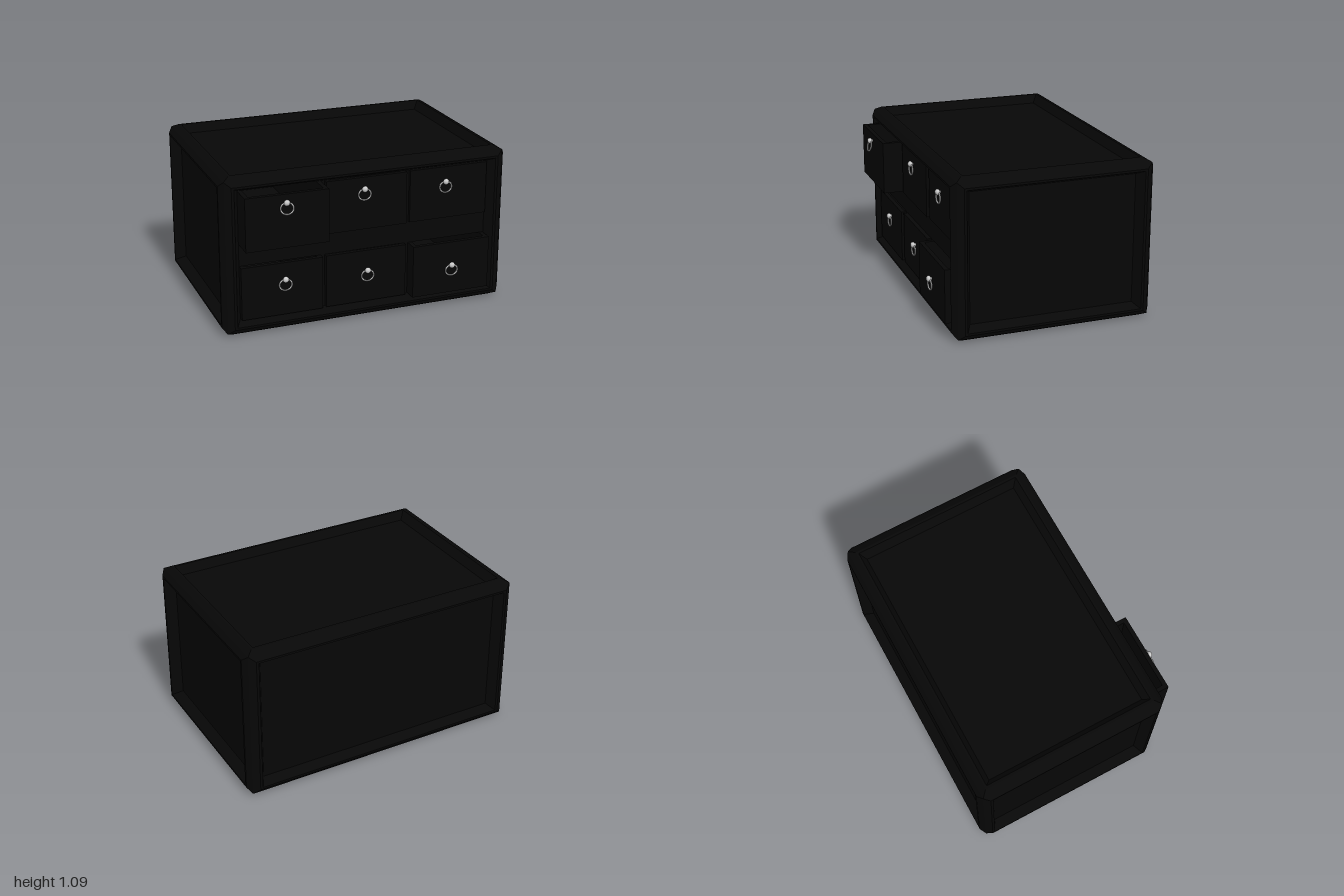
import * as THREE from 'three';

const black = new THREE.MeshStandardMaterial({ color: 0x070707, flatShading: true });
const metal = new THREE.MeshStandardMaterial({ color: 0xcccccc });

// Half sizes and centre of the cabinet body
const HX = 1, HY = 0.545, HZ = 0.685, CZ = -0.065;
// Frame width, panel recess, and the frame's relative width along each axis
const BEAM = 0.115, RECESS = 0.065;
const KX = 1.1, KY = 0.89, KZ = 1.05;

// Box given by its minimum and maximum corners
function box(name, x0, x1, y0, y1, z0, z1) {
  const mesh = new THREE.Mesh(new THREE.BoxGeometry(x1 - x0, y1 - y0, z1 - z0), black);
  mesh.position.set((x0 + x1) / 2, (y0 + y1) / 2, (z0 + z1) / 2);
  mesh.name = name;
  return mesh;
}

// Bevelled beam along z, mitred at both ends so three beams meet at a corner
function beamGeometry(half, ka, kb, kl) {
  const profile = [[0, 0.064], [0.026, 0.026], [0.064, 0], [0.08, 0],
    [BEAM, RECESS], [BEAM, BEAM], [RECESS, BEAM], [0, 0.08]];
  const shape = new THREE.Shape(profile.map(([a, b]) => new THREE.Vector2(a, b)));
  const geo = new THREE.ExtrudeGeometry(shape, { depth: 1, bevelEnabled: false });
  const p = geo.attributes.position;
  for (let i = 0; i < p.count; i++) {
    const a = p.getX(i), b = p.getY(i), end = half - kl * Math.max(a, b);
    p.setXYZ(i, a * ka, b * kb, p.getZ(i) > 0.5 ? end : -end);
  }
  geo.computeVertexNormals();
  return geo;
}

// Four parallel beams around a rectangle of half size hx, hy
function beamSet(name, hx, hy, half, kx, ky, kl) {
  const group = new THREE.Group();
  group.name = name;
  const geos = [beamGeometry(half, kx, ky, kl), beamGeometry(half, ky, kx, kl)];
  [[-1, -1], [1, -1], [1, 1], [-1, 1]].forEach(([sx, sy], k) => {
    const beam = new THREE.Mesh(geos[k % 2], black);
    beam.name = 'frameBeam';
    beam.rotation.z = k * Math.PI / 2;
    beam.position.set(sx * hx, sy * hy, 0);
    group.add(beam);
  });
  return group;
}

// Ball knob with a hanging oval ring
function ringPull(tilt) {
  const pull = new THREE.Group();
  pull.name = 'ringPull';
  const stem = new THREE.Mesh(new THREE.CylinderGeometry(0.012, 0.009, 0.02, 16), metal);
  stem.name = 'knobStem';
  stem.rotation.x = Math.PI / 2;
  stem.position.z = 0.008;
  const ball = new THREE.Mesh(new THREE.SphereGeometry(0.021, 20, 14), metal);
  ball.name = 'knob';
  ball.scale.z = 0.8;
  ball.position.z = 0.02;
  const pivot = new THREE.Group();
  pivot.name = 'ringPivot';
  pivot.position.z = 0.014;
  pivot.rotation.x = -tilt;
  const ring = new THREE.Mesh(new THREE.TorusGeometry(0.043, 0.006, 8, 40), metal);
  ring.name = 'ring';
  ring.scale.y = 0.88;
  ring.position.y = -0.037;
  pivot.add(ring);
  pull.add(stem, ball, pivot);
  return pull;
}

// Open-topped drawer with its pull
function drawer(name, x0, x1, y0, y1, front, px, py, tilt) {
  const t = 0.03, back = front - 1.1;
  const group = new THREE.Group();
  group.name = name;
  group.add(
    box('drawerFront', x0, x1, y0, y1, front - t, front),
    box('drawerBack', x0, x1, y0, y1, back, back + t),
    box('drawerSide', x0, x0 + t, y0, y1, back + t, front - t),
    box('drawerSide', x1 - t, x1, y0, y1, back + t, front - t),
    box('drawerFloor', x0 + t, x1 - t, y0, y0 + t, back + t, front - t));
  const pull = ringPull(tilt);
  pull.position.set(px, py, front);
  group.add(pull);
  return group;
}

export function createModel() {
  const model = new THREE.Group();
  model.name = 'drawerCabinet';

  // Bevelled frame of twelve beams
  const frame = new THREE.Group();
  frame.name = 'frame';
  frame.position.set(0, HY, CZ);
  const along = beamSet('depthBeams', HX, HY, HZ, KX, KY, KZ);
  const across = beamSet('widthBeams', HZ, HY, HX, KZ, KY, KX);
  across.rotation.y = Math.PI / 2;
  const posts = beamSet('cornerPosts', HX, HZ, HY, KX, KZ, KY);
  posts.rotation.x = Math.PI / 2;
  frame.add(along, across, posts);
  model.add(frame);

  // Panels set back inside the frame
  const t = 0.03, e = 0.1, zb = CZ - HZ, zf = CZ + HZ, top = 2 * HY;
  const rx = RECESS * KX, ry = RECESS * KY, rz = RECESS * KZ;
  model.add(
    box('topPanel', -HX + e, HX - e, top - ry - t, top - ry, zb + e, zf - e),
    box('bottomPanel', -HX + e, HX - e, ry, ry + t, zb + e, zf - e),
    box('backPanel', -HX + e, HX - e, e, top - e, zb + rz, zb + rz + t),
    box('rightPanel', -HX + rx, -HX + rx + t, e, top - e, zb + e, zf - e),
    box('leftPanel', HX - rx - t, HX - rx, e, top - e, zb + e, zf - e));

  // Shelf between the rows and dividers between the columns
  const inner = zb + rz + t, face = zf - rz;
  model.add(box('middleShelf', -0.9, 0.9, 0.472, 0.622, inner, face));
  for (const [y0, y1] of [[0.095, 0.472], [0.622, 0.995]]) {
    for (const x of [-0.298, 0.298]) {
      model.add(box('divider', x - 0.012, x + 0.012, y0, y1, inner, face));
    }
  }

  // Drawers, each pulled out by its own amount: column, row, front, pull x, pull y, ring tilt
  const columns = [[-0.872, -0.312], [-0.284, 0.284], [0.312, 0.872]];
  const rows = [[0.105, 0.47], [0.623, 0.984]];
  [
    ['upperRightDrawer', 0, 1, 0.71, -0.602, 0.932, 0.25],
    ['upperMiddleDrawer', 1, 1, 0.58, -0.022, 0.908, 0.05],
    ['upperLeftDrawer', 2, 1, 0.57, 0.564, 0.885, 0.05],
    ['lowerRightDrawer', 0, 0, 0.59, -0.576, 0.358, 0.05],
    ['lowerMiddleDrawer', 1, 0, 0.58, 0.003, 0.333, 0.05],
    ['lowerLeftDrawer', 2, 0, 0.646, 0.59, 0.31, 0],
  ].forEach(([name, c, w, front, px, py, tilt]) =>
    model.add(drawer(name, ...columns[c], ...rows[w], front, px, py, tilt)));

  return model;
}
